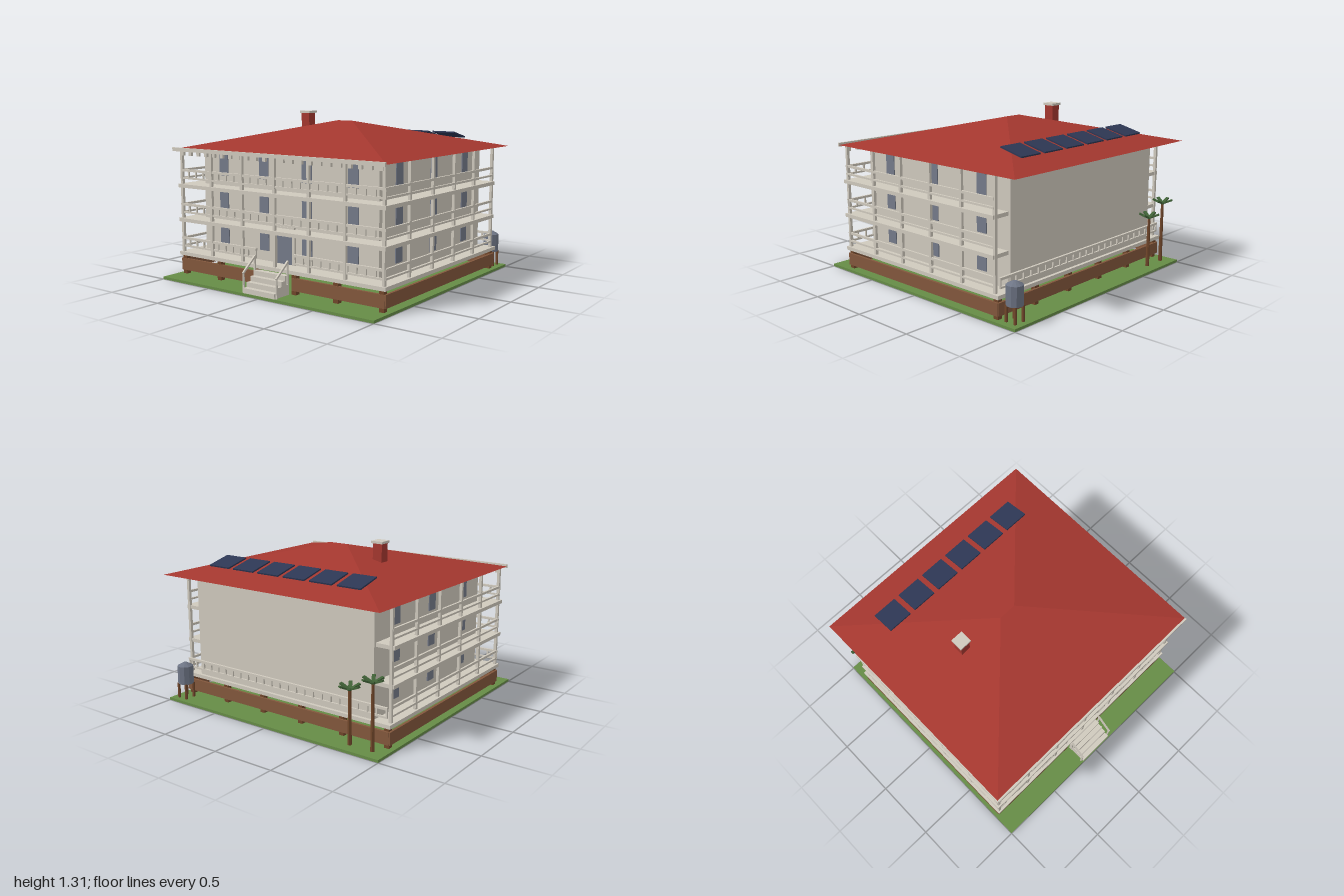
import * as THREE from 'three';

const mat = (name, color) => {
  const m = new THREE.MeshStandardMaterial({ color });
  m.name = name;
  return m;
};

export function createModel() {
  const root = new THREE.Group();
  root.name = 'verandaHouse';

  const cream = mat('cream', 0xcfc9bd);
  const red = mat('roofRed', 0xa4372f);
  const grass = mat('grass', 0x668c46);
  const brown = mat('skirtBrown', 0x82573c);
  const wood = mat('darkWood', 0x70462a);
  const glass = mat('windowGrey', 0x747a89);
  const steel = mat('tankGrey', 0x6e7585);
  const navy = mat('panelNavy', 0x2d3754);
  const leaf = mat('palmGreen', 0x3f6136);
  for (const m of [steel, wood, leaf]) m.flatShading = true;

  const add = (name, geo, material, x, y, z, parent = root) => {
    const m = new THREE.Mesh(geo, material);
    m.name = name;
    m.position.set(x, y, z);
    parent.add(m);
    return m;
  };
  // Box given by its extents on each axis
  const box = (name, material, x0, x1, y0, y1, z0, z1, parent) =>
    add(name, new THREE.BoxGeometry(x1 - x0, y1 - y0, z1 - z0), material,
      (x0 + x1) / 2, (y0 + y1) / 2, (z0 + z1) / 2, parent);
  const group = (name) => {
    const g = new THREE.Group();
    g.name = name;
    root.add(g);
    return g;
  };

  // Ground and main block
  box('ground', grass, -1, 1, 0, 0.02, -1, 1);
  box('walls', cream, -0.83, 0.83, 0.2, 1.02, -0.805, 0.685);

  // Stilts and skirting boards
  const base = group('foundation');
  for (const z of [0.8, -0.79])
    for (const x of [-0.94, -0.56, -0.185, 0.185, 0.56, 0.94])
      box('stilt', wood, x - 0.02, x + 0.02, 0.02, 0.17, z - 0.02, z + 0.02, base);
  for (const s of [-1, 1]) {
    box('sideSkirt', brown, s * 0.965 - 0.01, s * 0.965 + 0.01, 0.05, 0.145, -0.82, 0.82, base);
    box('frontSkirt', brown, s * 0.57 - 0.4, s * 0.57 + 0.4, 0.05, 0.145, 0.805, 0.825, base);
  }
  box('backSkirt', brown, -0.965, 0.965, 0.05, 0.145, -0.825, -0.805, base);

  // Balcony floors, rails and balusters on every storey
  const balcony = group('balconies');
  const floors = [0.2, 0.472, 0.745];
  const frontRail = (x0, x1, y, z) => {
    box('topRail', cream, x0, x1, y + 0.1, y + 0.118, z - 0.009, z + 0.009, balcony);
    box('lowerRail', cream, x0, x1, y + 0.04, y + 0.054, z - 0.007, z + 0.007, balcony);
    const n = Math.round((x1 - x0) / 0.08);
    for (let i = 0; i <= n; i++) {
      const x = x0 + 0.007 + (x1 - x0 - 0.014) * i / n;
      box('baluster', cream, x - 0.006, x + 0.006, y + 0.054, y + 0.1, z - 0.006, z + 0.006, balcony);
    }
  };
  floors.forEach((y, i) => {
    box('balconyFloor', cream, -0.98, 0.98, y - 0.028, y, i ? -0.785 : -0.83, 0.835, balcony);
    if (i) frontRail(-0.97, 0.97, y, 0.81);
    else {
      frontRail(-0.97, -0.18, y, 0.81);
      frontRail(0.18, 0.97, y, 0.81);
    }
    for (const s of [-1, 1])
      for (const [a, b] of [[0.1, 0.118], [0.04, 0.054]])
        box('sideRail', cream, s * 0.958 - 0.008, s * 0.958 + 0.008, y + a, y + b, -0.78, 0.81, balcony);
  });
  frontRail(-0.95, 0.95, 0.2, -0.817);

  // Veranda posts
  const posts = group('verandaPosts');
  const post = (x, z) => box('post', cream, x - 0.011, x + 0.011, 0.2, 1.02, z - 0.011, z + 0.011, posts);
  for (let i = -3; i <= 3; i++) post(i * 0.318, 0.81);
  for (const s of [-1, 1])
    for (let i = 1; i <= 5; i++) post(s * 0.954, 0.81 - i * 0.318);

  // Windows on the front and both sides
  const windows = group('windows');
  for (const y of [0.278, 0.552, 0.822]) {
    for (const x of [-0.617, -0.206, 0.206, 0.617])
      box('frontWindow', glass, x - 0.045, x + 0.045, y, y + 0.167, 0.683, 0.692, windows);
    for (const s of [-1, 1])
      for (const z of [0.435, -0.05, -0.538])
        box('sideWindow', glass, s * 0.8325 - 0.0045, s * 0.8325 + 0.0045, y, y + 0.167,
          z - 0.045, z + 0.045, windows);
  }

  // Double door and frame
  const door = group('entrance');
  box('door', glass, -0.075, 0.075, 0.2, 0.46, 0.686, 0.694, door);
  for (const s of [-1, 1])
    box('doorJamb', cream, s * 0.087 - 0.012, s * 0.087 + 0.012, 0.2, 0.47, 0.685, 0.705, door);
  box('doorLintel', cream, -0.1, 0.1, 0.46, 0.485, 0.685, 0.708, door);

  // Front steps with sloping handrails
  const stairs = group('frontSteps');
  for (let i = 0; i < 4; i++)
    box('step', cream, -0.15, 0.15, 0.02, 0.058 + i * 0.036, 0.83, 0.995 - i * 0.04, stairs);
  for (const s of [-1, 1]) {
    const x = s * 0.158;
    box('lowPost', cream, x - 0.006, x + 0.006, 0.02, 0.17, 0.972, 0.984, stairs);
    box('highPost', cream, x - 0.006, x + 0.006, 0.1, 0.27, 0.85, 0.862, stairs);
    const dy = 0.1, dz = 0.122;
    const rail = add('handrail', new THREE.BoxGeometry(0.014, 0.014, Math.hypot(dy, dz) + 0.015),
      cream, x, 0.218, 0.917, stairs);
    rail.rotation.x = Math.atan2(dy, dz);
  }

  // Hipped roof: a flat-bottomed box with its top drawn in to a short ridge
  const roofGeo = new THREE.BoxGeometry(2, 1, 2).toNonIndexed();
  const p = roofGeo.attributes.position;
  for (let i = 0; i < p.count; i++) {
    const top = p.getY(i) > 0;
    const x = p.getX(i), z = p.getZ(i);
    if (top) p.setXYZ(i, x * 0.07, 1.238, -0.066 + z * 0.0005);
    else p.setXYZ(i, x * 0.998, 1.02, z > 0 ? 0.86 : -0.995);
  }
  roofGeo.computeVertexNormals();
  add('roof', roofGeo, red, 0, 0, 0);

  // Front fascia and the small blocks beneath it
  const trim = group('eaveTrim');
  box('fascia', cream, -0.995, 0.995, 1.007, 1.036, 0.858, 0.874, trim);
  for (let i = 0; i < 23; i++) {
    const x = -0.935 + i * 0.085;
    box('eaveBlock', cream, x - 0.014, x + 0.014, 0.972, 1.02, 0.805, 0.825, trim);
  }

  // Chimney
  box('chimney', red, -0.455, -0.375, 1.08, 1.29, -0.158, -0.078);
  box('chimneyCap', cream, -0.465, -0.365, 1.288, 1.306, -0.168, -0.068);

  // Solar panels on the rear slope
  const solar = group('solarPanels');
  for (let i = 0; i < 6; i++) {
    const panel = add('solarPanel', new THREE.BoxGeometry(0.198, 0.011, 0.2), navy,
      -0.605 + i * 0.242, 1.118, -0.69, solar);
    panel.rotation.x = -0.245;
  }

  // Water tank on four legs
  const tank = group('waterTank');
  tank.position.set(0.902, 0, -0.91);
  add('tankBody', new THREE.CylinderGeometry(0.062, 0.062, 0.145, 10), steel, 0, 0.212, 0, tank);
  add('tankLid', new THREE.CylinderGeometry(0.016, 0.062, 0.026, 10), steel, 0, 0.297, 0, tank);
  for (const x of [-0.04, 0.04])
    for (const z of [-0.04, 0.04])
      box('tankLeg', wood, x - 0.008, x + 0.008, 0.02, 0.142, z - 0.008, z + 0.008, tank);

  // Two palms behind the house
  for (const [x, h] of [[-0.89, 0.51], [-0.7, 0.425]]) {
    const palm = group('palm');
    palm.position.set(x, 0, -0.905);
    add('palmTrunk', new THREE.CylinderGeometry(0.011, 0.016, h - 0.02, 7), wood, 0, h / 2 + 0.01, 0, palm);
    for (let i = 0; i < 6; i++) {
      const frond = new THREE.BoxGeometry(0.085, 0.012, 0.026);
      frond.translate(0.042, 0, 0).rotateZ(0.4).rotateY(i * Math.PI / 3);
      add('palmFrond', frond, leaf, 0, h - 0.005, 0, palm);
    }
  }
  return root;
}
